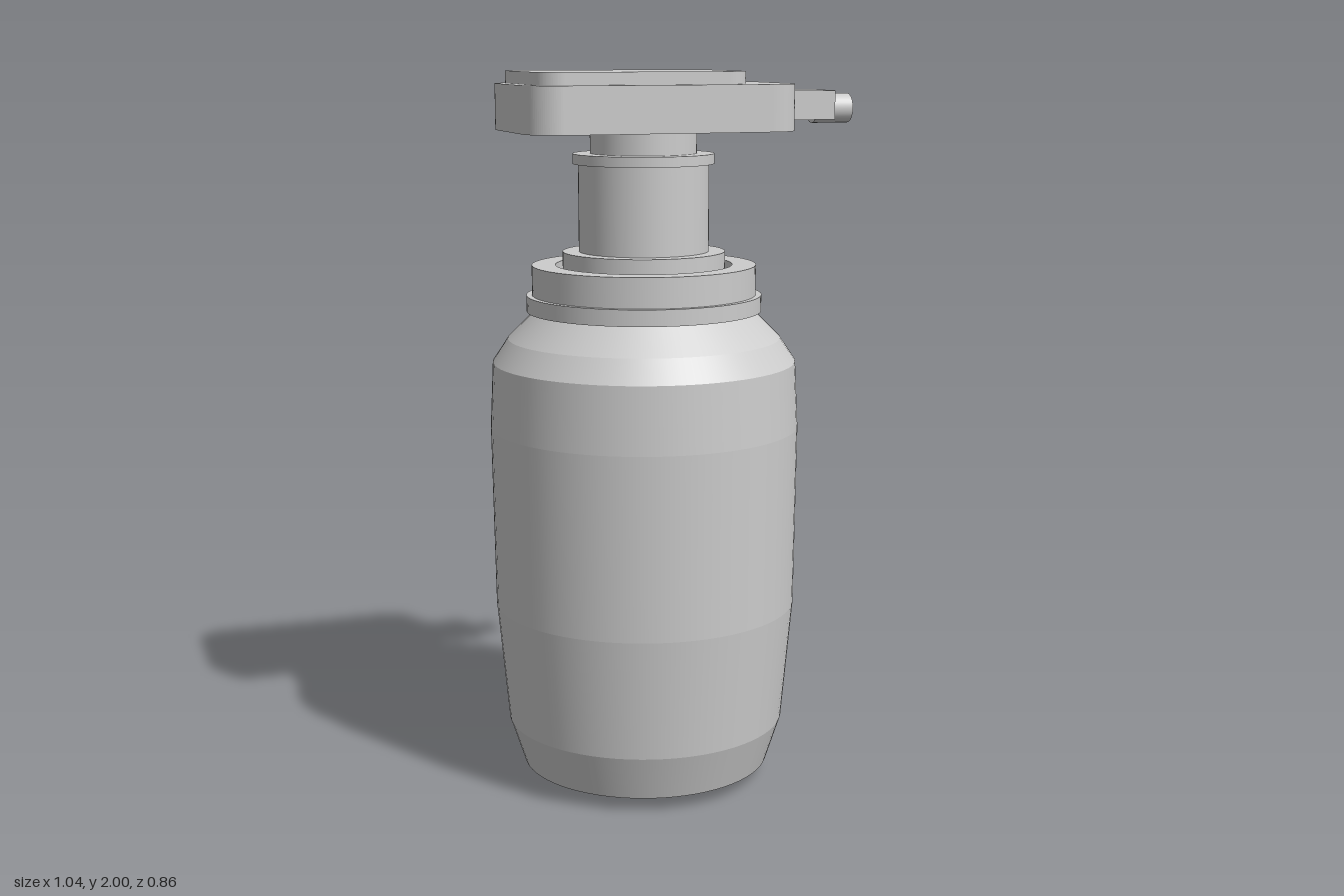
import * as THREE from 'three';
import { mergeGeometries } from 'three/addons/utils/BufferGeometryUtils.js';

const AXIS_X = -0.09; // bottle axis, offset from the spout side

// Lathe with a crisp edge at every profile point, smooth around the axis
function bandedLathe(profile, segments = 72) {
  const bands = [];
  for (let i = 0; i < profile.length - 1; i++) {
    const pair = [profile[i], profile[i + 1]].map(([r, y]) => new THREE.Vector2(r, y));
    bands.push(new THREE.LatheGeometry(pair, segments));
  }
  return mergeGeometries(bands);
}

// Horizontal slab with rounded corners in plan
function roundedSlab(x0, x1, halfZ, y0, y1, r) {
  const s = new THREE.Shape();
  s.moveTo(x0 + r, -halfZ);
  s.lineTo(x1 - r, -halfZ);
  s.absarc(x1 - r, -halfZ + r, r, -Math.PI / 2, 0, false);
  s.lineTo(x1, halfZ - r);
  s.absarc(x1 - r, halfZ - r, r, 0, Math.PI / 2, false);
  s.lineTo(x0 + r, halfZ);
  s.absarc(x0 + r, halfZ - r, r, Math.PI / 2, Math.PI, false);
  s.lineTo(x0, -halfZ + r);
  s.absarc(x0 + r, -halfZ + r, r, Math.PI, Math.PI * 1.5, false);
  const g = new THREE.ExtrudeGeometry(s, { depth: y1 - y0, bevelEnabled: false, curveSegments: 12 });
  return g.rotateX(-Math.PI / 2).translate(0, y0, 0);
}

export function createModel() {
  const model = new THREE.Group();
  model.name = 'pumpBottle';
  const grey = new THREE.MeshStandardMaterial({ color: 0xcccccc });
  grey.name = 'light grey';

  const add = (name, geometry, x = 0, y = 0, z = 0) => {
    const mesh = new THREE.Mesh(geometry, grey);
    mesh.name = name;
    mesh.position.set(x, y, z);
    model.add(mesh);
    return mesh;
  };
  const turned = (name, profile) => add(name, bandedLathe(profile), AXIS_X);

  // Bottle body with shallow bands and a chamfered shoulder
  turned('bottle', [
    [0, 0], [0.16, 0.002], [0.352, 0.04], [0.394, 0.17], [0.425, 0.51],
    [0.432, 1.02], [0.423, 1.205], [0.38, 1.27], [0.305, 1.345], [0, 1.345],
  ]);

  // Stepped screw collar with a recessed groove around the pump seat
  turned('collar', [
    [0, 1.345], [0.327, 1.345], [0.327, 1.39], [0.311, 1.39], [0.311, 1.473],
    [0.245, 1.473], [0.245, 1.42], [0, 1.42],
  ]);
  turned('pumpSeat', [[0, 1.41], [0.225, 1.41], [0.225, 1.51], [0, 1.51]]);

  // Pump stem, its top ring and the narrower neck under the head
  turned('pumpStem', [[0, 1.5], [0.18, 1.5], [0.18, 1.755], [0, 1.755]]);
  turned('stemRing', [[0, 1.75], [0.195, 1.75], [0.195, 1.778], [0, 1.778]]);
  turned('pumpNeck', [[0, 1.77], [0.147, 1.77], [0.147, 1.845], [0, 1.845]]);

  // Pump head with raised press plate
  add('pumpHead', roundedSlab(-0.468, 0.291, 0.23, 1.84, 1.966, 0.09));
  add('pressPlate', roundedSlab(-0.44, 0.152, 0.203, 1.96, 2.0, 0.07));

  // Spout and round nozzle
  add('spout', new THREE.BoxGeometry(0.176, 0.08, 0.164), 0.358, 1.905, 0);
  const nozzle = new THREE.CylinderGeometry(0.041, 0.041, 0.11, 32).rotateZ(-Math.PI / 2);
  add('nozzle', nozzle, 0.465, 1.894, 0);

  return model;
}
